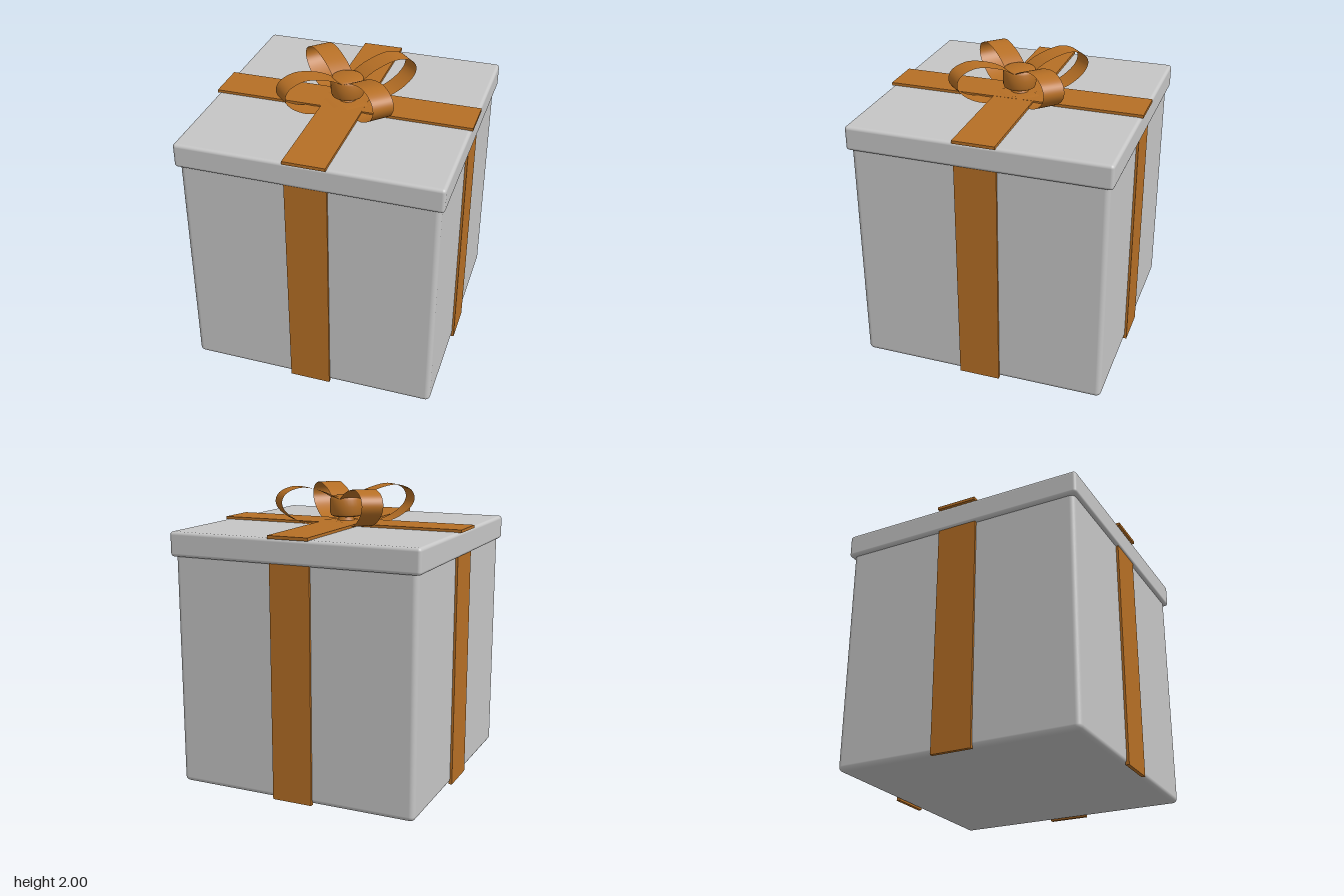
import * as THREE from 'three';
import { RoundedBoxGeometry } from 'three/addons/geometries/RoundedBoxGeometry.js';
import { toCreasedNormals } from 'three/addons/utils/BufferGeometryUtils.js';

const paper = new THREE.MeshStandardMaterial({ name: 'grey paper', color: 0xc6c6c6 });
const ribbon = new THREE.MeshStandardMaterial({ name: 'copper ribbon', color: 0xb66f25, side: THREE.DoubleSide });

function add(parent, name, geometry, material, x = 0, y = 0, z = 0) {
  const mesh = new THREE.Mesh(geometry, material);
  mesh.name = name;
  mesh.position.set(x, y, z);
  parent.add(mesh);
  return mesh;
}

// Flat strip bent along a profile of (distance from centre, height)
function loopGeometry() {
  const curve = new THREE.SplineCurve([
    [0.05, 1.895], [0.17, 1.962], [0.33, 2.0], [0.445, 1.97], [0.484, 1.905],
    [0.45, 1.835], [0.35, 1.77], [0.24, 1.746], [0.12, 1.76], [0, 1.764],
  ].map(([r, y]) => new THREE.Vector2(r, y)));
  const geometry = new THREE.PlaneGeometry(1, 0.15, 48, 1);
  const pos = geometry.attributes.position;
  for (let i = 0; i < pos.count; i++) {
    const p = curve.getPoint(pos.getX(i) + 0.5);
    pos.setXYZ(i, p.x, p.y, -pos.getY(i));
  }
  geometry.computeVertexNormals();
  return geometry;
}

// Round knot on a short flared stem
function knotGeometry() {
  const profile = [
    [0, 1.757], [0.065, 1.757], [0.052, 1.775], [0.05, 1.79], [0.09, 1.79], [0.104, 1.797],
    [0.111, 1.815], [0.113, 1.86], [0.111, 1.905], [0.104, 1.921], [0.09, 1.928], [0, 1.928],
  ].map(([r, y]) => new THREE.Vector2(r, y));
  return toCreasedNormals(new THREE.LatheGeometry(profile, 32), 0.7);
}

export function createModel() {
  const model = new THREE.Group();
  model.name = 'giftBox';

  // Box and lid
  add(model, 'box', new RoundedBoxGeometry(1.69, 1.6, 1.69, 4, 0.035), paper, 0, 0.805, 0);
  add(model, 'lid', new RoundedBoxGeometry(1.74, 0.165, 1.74, 4, 0.022), paper, 0, 1.657, 0);

  // Crossing ribbons on the lid
  add(model, 'lidRibbonAcross', new THREE.BoxGeometry(1.76, 0.02, 0.28), ribbon, 0, 1.747, 0);
  add(model, 'lidRibbonAlong', new THREE.BoxGeometry(0.28, 0.021, 1.76), ribbon, 0, 1.7475, 0);

  // One ribbon down each side
  const strap = new THREE.BoxGeometry(0.28, 1.6, 0.025);
  for (let i = 0; i < 4; i++) {
    const side = new THREE.Group();
    side.name = 'sideRibbon' + (i + 1);
    side.rotation.y = i * Math.PI / 2;
    add(side, 'strap', strap, ribbon, 0, 0.8, 0.848);
    model.add(side);
  }

  // Bow: four diagonal loops and a knot
  const bow = new THREE.Group();
  bow.name = 'bow';
  const loop = loopGeometry();
  for (let i = 0; i < 4; i++) {
    add(bow, 'bowLoop' + (i + 1), loop, ribbon).rotation.y = Math.PI / 4 + i * Math.PI / 2;
  }
  add(bow, 'knot', knotGeometry(), ribbon);
  model.add(bow);

  return model;
}
